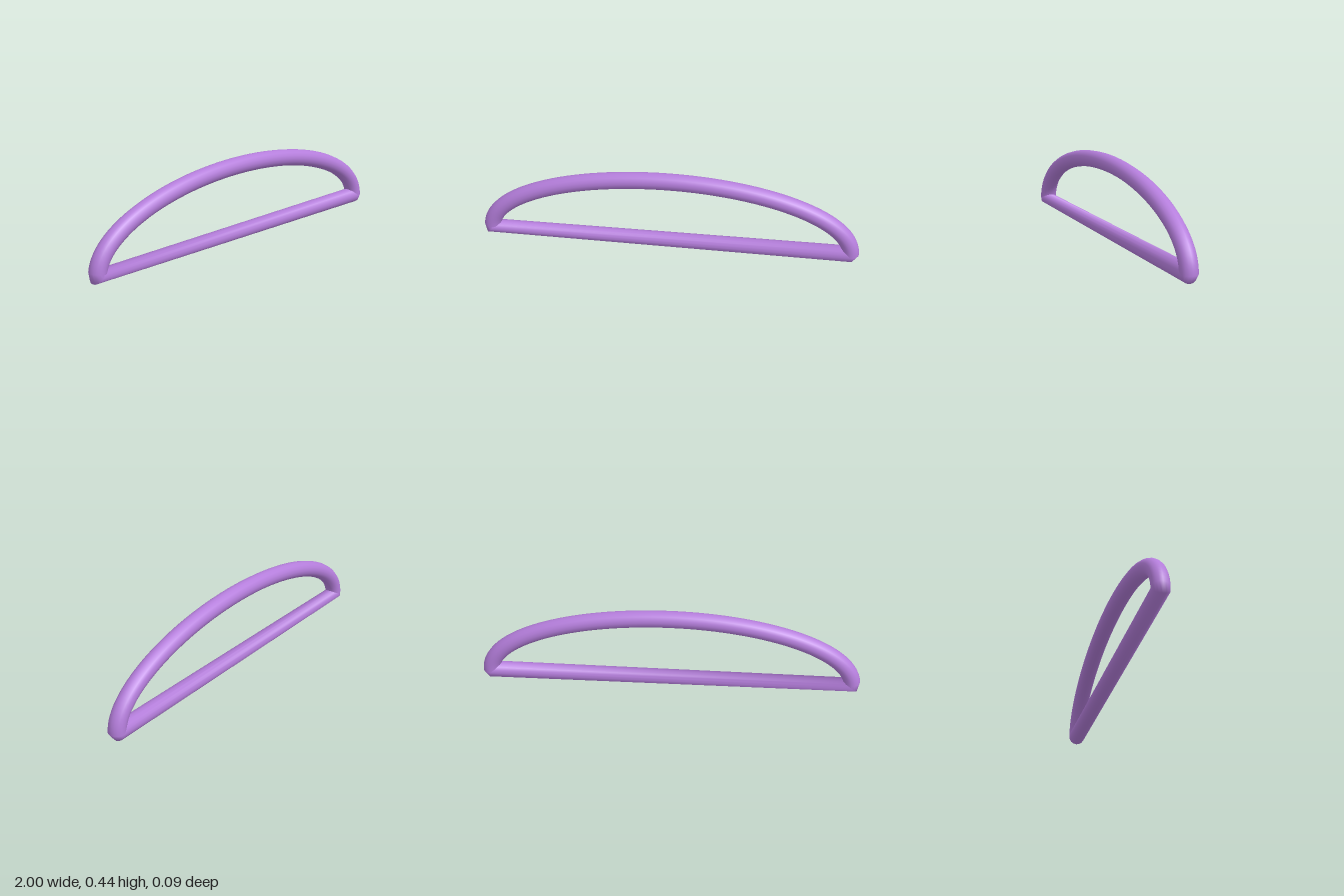
import * as THREE from 'three';

const TUBE = 0.0445, SIDES = 16;
const RX = 0.955, RY = 0.357, BASE = 0.045;

// Lofts a round tube through rings { x, y, a }, a = direction of the ring's outer side
function loft(rings, material, name) {
  const pos = [], nor = [], idx = [];
  for (const { x, y, a } of rings) {
    for (let j = 0; j < SIDES; j++) {
      const v = (j / SIDES) * Math.PI * 2;
      const n = [Math.cos(v) * Math.cos(a), Math.cos(v) * Math.sin(a), Math.sin(v)];
      pos.push(x + n[0] * TUBE, y + n[1] * TUBE, n[2] * TUBE);
      nor.push(...n);
    }
  }
  for (let i = 0; i < rings.length - 1; i++) {
    for (let j = 0; j < SIDES; j++) {
      const k = (j + 1) % SIDES;
      const a = i * SIDES + j, b = a + SIDES, c = (i + 1) * SIDES + k, d = i * SIDES + k;
      idx.push(a, b, c, a, c, d);
    }
  }
  const geo = new THREE.BufferGeometry();
  geo.setAttribute('position', new THREE.Float32BufferAttribute(pos, 3));
  geo.setAttribute('normal', new THREE.Float32BufferAttribute(nor, 3));
  geo.setIndex(idx);
  const mesh = new THREE.Mesh(geo, material);
  mesh.name = name;
  return mesh;
}

export function createModel() {
  const group = new THREE.Group();
  group.name = 'archedHandle';
  const lavender = new THREE.MeshStandardMaterial({ color: 0xb57edc, side: THREE.DoubleSide });
  lavender.name = 'lavender';

  // Corner rings shared by the arch and the straight bar
  const rightCorner = { x: -RX, y: BASE, a: THREE.MathUtils.degToRad(225) };
  const leftCorner = { x: RX, y: BASE, a: THREE.MathUtils.degToRad(285) };

  // Half-elliptical arch, each ring square to the curve
  const arch = [{ ...leftCorner, a: leftCorner.a - Math.PI * 2 }];
  const steps = 64;
  for (let i = 0; i < steps; i++) {
    const t = (i / steps) * Math.PI;
    arch.push({
      x: RX * Math.cos(t),
      y: BASE + RY * Math.sin(t),
      a: Math.atan2(Math.sin(t) / RY, Math.cos(t) / RX),
    });
  }
  arch.push(rightCorner);
  group.add(loft(arch, lavender, 'arch'));

  // Straight bar, slightly slimmer at the mitred right end
  group.add(loft([rightCorner, leftCorner], lavender, 'straightBar'));
  return group;
}
